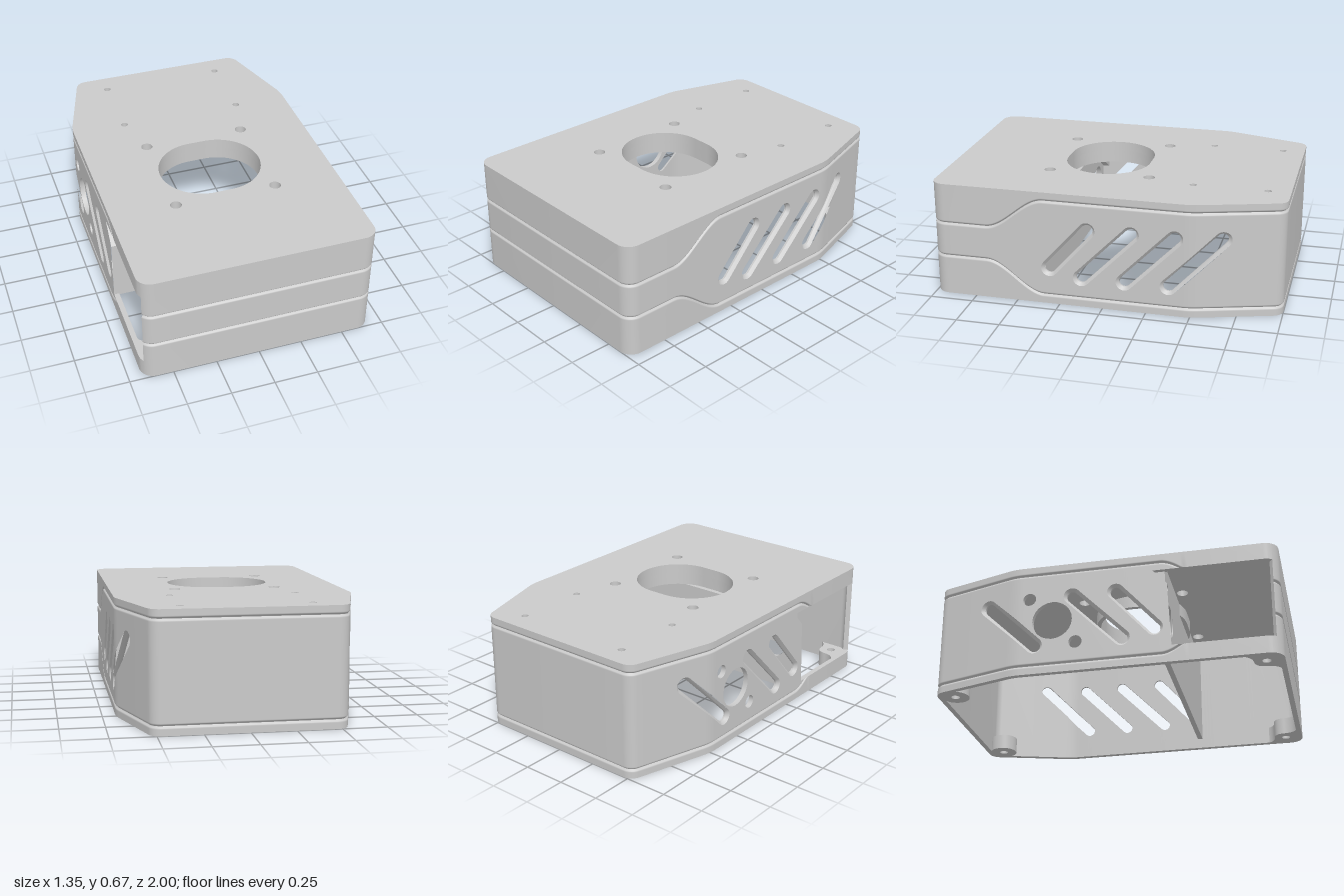
import * as THREE from 'three';
import { toCreasedNormals } from 'three/addons/utils/BufferGeometryUtils.js';

const HEIGHT = 0.67, WALL = 0.03, ROOF = 0.055;
const GROOVE_HALF = 0.012, GROOVE_DEPTH = 0.011;
const GROOVE_STEPS = [-1.4, -1, -0.75, -0.5, -0.25, 0, 0.25, 0.5, 0.75, 1, 1.4];

// Half outline (x, z) from front centre to back centre, with rounded corners and normals
function halfOutline() {
  const c = [[0, 1, 0], [0.675, 1, 0.08], [0.675, -0.5, 0.3], [0.525, -1, 0.07], [0, -1, 0]];
  const out = [{ x: 0, z: 1, nx: 0, nz: 1 }];
  for (let i = 1; i < c.length - 1; i++) {
    const p = new THREE.Vector2(c[i][0], c[i][1]), r = c[i][2];
    const d0 = p.clone().sub(new THREE.Vector2(c[i - 1][0], c[i - 1][1])).normalize();
    const d1 = new THREE.Vector2(c[i + 1][0], c[i + 1][1]).sub(p).normalize();
    const turn = Math.acos(d0.dot(d1)), t = r * Math.tan(turn / 2);
    // outward normal of direction (dx, dz) is (-dz, dx)
    const a0 = Math.atan2(d0.x, -d0.y);
    const cx = p.x - d0.x * t + d0.y * r, cz = p.y - d0.y * t - d0.x * r;
    for (let k = 0; k <= 10; k++) {
      const a = a0 - turn * k / 10, nx = Math.cos(a), nz = Math.sin(a);
      out.push({ x: cx + r * nx, z: cz + r * nz, nx, nz });
    }
  }
  out.push({ x: 0, z: -1, nx: 0, nz: -1 });
  return out;
}
const OUTLINE = halfOutline();

// Outline point at a given z on the side
function at(z) {
  for (let i = 1; i < OUTLINE.length - 2; i++) {
    const a = OUTLINE[i], b = OUTLINE[i + 1];
    if (z <= a.z && z >= b.z && a.z > b.z) {
      const t = (a.z - z) / (a.z - b.z), mix = (k) => a[k] + (b[k] - a[k]) * t;
      return { x: mix('x'), z, nx: mix('nx'), nz: mix('nz') };
    }
  }
  return OUTLINE[0];
}

// Slot outline as [z, y] points; equal ends give a circle
function slot(az, ay, bz, by, r) {
  const dir = Math.atan2(by - ay, az - bz), pts = [];
  for (const [z, y, start] of [[bz, by, -0.5], [az, ay, 0.5]]) {
    for (let k = 0; k <= 12; k++) {
      const a = dir + Math.PI * (start + k / 12);
      pts.push([z - r * Math.cos(a), y + r * Math.sin(a)]);
    }
  }
  return pts;
}
const bevelSlot = (...s) => ({ outer: slot(...s, 0.048), inner: slot(...s, 0.032) });
const plain = (loop) => ({ outer: loop, inner: loop });

// Height range of a convex loop at z
function span(loop, z) {
  let lo = Infinity, hi = -Infinity;
  loop.forEach((p, i) => {
    const q = loop[(i + 1) % loop.length];
    if (z < Math.min(p[0], q[0]) - 1e-7 || z > Math.max(p[0], q[0]) + 1e-7) return;
    const flat = Math.abs(q[0] - p[0]) < 1e-7;
    const ys = flat ? [p[1], q[1]] : [p[1] + (q[1] - p[1]) * (z - p[0]) / (q[0] - p[0])];
    for (const y of ys) { lo = Math.min(lo, y); hi = Math.max(hi, y); }
  });
  return [lo, hi];
}

// The two decorative grooves spread apart from the front to the sides
function grooves(z) {
  const t = 1 - THREE.MathUtils.smoothstep(z, 0.34, 0.68);
  return [0.235 - 0.183 * t, 0.436 + 0.183 * t];
}

function creased(geometry) {
  geometry.scale(100, 100, 100);
  const g = toCreasedNormals(geometry, 0.6);
  g.scale(0.01, 0.01, 0.01);
  return g;
}

// One half of the shell wall, swept column by column with openings left out
function wallGeometry(holes, side) {
  const pos = [];
  const point = (c, y, d) => [side * (c.x - d * c.nx), y, c.z - d * c.nz];
  const tri = (a, b, c) => pos.push(...a, ...(side > 0 ? b : c), ...(side > 0 ? c : b));
  const quad = (a, b, c, d) => { tri(a, b, c); tri(a, c, d); };

  for (const face of ['outer', 'inner']) {
    const loops = holes.map((h) => h[face]);
    const zs = loops.flat().map((p) => p[0]);
    for (let z = 0.3; z < 0.72; z += 0.02) zs.push(z);
    const cols = [...OUTLINE, ...zs.map(at)].sort((a, b) => b.z - a.z);
    for (let i = 0; i < cols.length - 1; i++) {
      const A = cols[i], B = cols[i + 1], mid = (A.z + B.z) / 2;
      if (Math.hypot(A.x - B.x, A.z - B.z) < 1e-6) continue;
      const active = loops.filter((l) => {
        const s = l.map((p) => p[0]);
        return mid > Math.min(...s) && mid < Math.max(...s);
      }).sort((a, b) => span(a, mid)[0] - span(b, mid)[0]);
      const rows = [A, B].map((c) => {
        const cuts = [0, ...active.flatMap((l) => span(l, c.z)), HEIGHT], gaps = [];
        for (let k = 0; k < cuts.length; k += 2) {
          const [lo, hi] = [cuts[k], cuts[k + 1]], g = grooves(c.z);
          const ys = face === 'inner' ? [] : g.flatMap((y) => GROOVE_STEPS.map((s) => y + s * GROOVE_HALF));
          gaps.push([lo, ...ys.map((y) => THREE.MathUtils.clamp(y, lo, hi)), hi].map((y) => {
            const near = Math.min(1, ...g.map((v) => Math.abs(v - y) / GROOVE_HALF));
            return point(c, y, face === 'inner' ? WALL : GROOVE_DEPTH * (0.5 + 0.5 * Math.cos(Math.PI * near)));
          }));
        }
        return gaps;
      });
      rows[0].forEach((a, k) => {
        const b = rows[1][k];
        for (let j = 0; j < a.length - 1; j++) {
          if (face === 'outer') quad(a[j], b[j], b[j + 1], a[j + 1]);
          else quad(a[j], a[j + 1], b[j + 1], b[j]);
        }
      });
      // rims
      if (face === 'outer') {
        quad(point(A, HEIGHT, 0), point(B, HEIGHT, 0), point(B, HEIGHT, WALL), point(A, HEIGHT, WALL));
        quad(point(A, 0, WALL), point(B, 0, WALL), point(B, 0, 0), point(A, 0, 0));
      }
    }
  }
  // bevelled edges of the openings
  for (const h of holes) {
    const rings = [[h.outer, 0], [h.inner, 0.018], [h.inner, WALL]]
      .map(([loop, d]) => loop.map(([z, y]) => point(at(z), y, d)));
    for (let k = 0; k < 2; k++) {
      const o = rings[k], n = rings[k + 1];
      o.forEach((p, i) => { const j = (i + 1) % o.length; quad(p, o[j], n[j], n[i]); });
    }
  }
  const g = new THREE.BufferGeometry();
  g.setAttribute('position', new THREE.Float32BufferAttribute(pos, 3));
  return creased(g);
}

const circle = (P, x, y, r) => new P().absarc(x, y, r, 0, Math.PI * 2);
const polygon = (points) => new THREE.Shape(points.map((p) => new THREE.Vector2(...p)));
// Central opening: two half circles joined by short flats
const opening = (P, r) => new P().absarc(0.05, -0.115, r, -Math.PI / 2, Math.PI / 2)
  .absarc(-0.05, -0.115, r, Math.PI / 2, Math.PI * 1.5).closePath();

const extrude = (shape, depth) => new THREE.ExtrudeGeometry(shape, { depth, bevelEnabled: false, curveSegments: 24 });
// Horizontal plate from a shape drawn in (x, -z)
const plate = (shape, y, depth) => creased(extrude(shape, depth).rotateX(-Math.PI / 2).translate(0, y, 0));
// Upright plate from a shape drawn in (x, y)
const upright = (shape, z, depth) => creased(extrude(shape, depth).translate(0, 0, z));

// Front boss outline flaring into both walls, for the corner at x = side
function flaredBoss(side) {
  const s = new THREE.Shape(), X = (x) => side * (0.575 + x), Y = (z) => -(0.9 + z);
  s.moveTo(X(-0.16), Y(0.085));
  s.quadraticCurveTo(X(-0.075), Y(0.075), X(-0.07), Y(0));
  s.quadraticCurveTo(X(-0.07), Y(-0.07), X(0), Y(-0.07));
  s.quadraticCurveTo(X(0.075), Y(-0.075), X(0.085), Y(-0.16));
  s.lineTo(X(0.085), Y(0.03));
  s.lineTo(X(0.03), Y(0.085));
  return s;
}

export function createModel() {
  const group = new THREE.Group();
  const grey = new THREE.MeshStandardMaterial({ color: 0xcacaca });
  grey.name = 'grey shell';
  const add = (name, geometry) => {
    const m = new THREE.Mesh(geometry, grey);
    m.name = name;
    group.add(m);
  };

  // Side walls: vents on both, connector holes and a large window on the right
  const vents = [
    bevelSlot(0.307, 0.217, 0.088, 0.463), bevelSlot(0.122, 0.174, -0.163, 0.463),
    bevelSlot(-0.126, 0.174, -0.41, 0.463), bevelSlot(-0.377, 0.174, -0.67, 0.463),
  ];
  const round = (z, y, r) => plain(slot(z, y, z, y, r));
  const windowLoop = [[0.967, 0.1], [0.945, 0.1], [0.92, 0.1], [0.4, 0.1], [0.4, 0.46],
    [0.3, 0.57], [0.92, 0.57], [0.945, 0.57], [0.967, 0.57]];
  add('leftWall', wallGeometry(vents, 1));
  add('rightWall', wallGeometry([vents[0], vents[1], vents[3], round(-0.275, 0.32, 0.115),
    round(-0.41, 0.465, 0.038), round(-0.14, 0.175, 0.038), plain(windowLoop)], -1));

  // Top plate with its central opening and screw holes
  const inset = OUTLINE.map((p) => new THREE.Vector2(p.x - WALL * p.nx, -(p.z - WALL * p.nz)));
  const mirrored = inset.slice(1, -1).reverse().map((p) => new THREE.Vector2(-p.x, p.y));
  const top = new THREE.Shape([...inset, ...mirrored]);
  top.holes.push(opening(THREE.Path, 0.25));
  for (const s of [-1, 1]) {
    for (const [x, z, r] of [[0.295, -0.183, 0.033], [0.295, 0.407, 0.033], [0.36, -0.87, 0.02], [0.36, -0.45, 0.02]]) {
      top.holes.push(circle(THREE.Path, s * x, -z, r));
    }
  }
  add('topPlate', plate(top, HEIGHT - ROOF, ROOF));

  // Collar below the opening
  const collar = opening(THREE.Shape, 0.275);
  collar.holes.push(opening(THREE.Path, 0.25));
  add('openingCollar', plate(collar, 0.54, HEIGHT - ROOF - 0.54));

  // Inner partition, notched under the opening, with a cable hole and a screw hole
  const partition = polygon([[-0.65, 0.06], [0.65, 0.06], [0.65, 0.63], [0.17, 0.63],
    [0.17, 0.54], [-0.17, 0.54], [-0.17, 0.63], [-0.65, 0.63]]);
  partition.holes.push(circle(THREE.Path, -0.5, 0.33, 0.09), circle(THREE.Path, -0.57, 0.51, 0.02));
  add('partition', upright(partition, 0.335, 0.03));

  // Gusset around the screw hole in the corner of the partition
  const gusset = polygon([[-0.65, 0.38], [-0.52, 0.46], [-0.52, 0.63], [-0.65, 0.63]]);
  gusset.holes.push(circle(THREE.Path, -0.57, 0.51, 0.02));
  add('cornerGusset', upright(gusset, 0.295, 0.04));

  // Screw bosses in the four bottom corners
  for (const s of [-1, 1]) {
    const backBoss = circle(THREE.Shape, s * 0.457, 0.9, 0.08);
    for (const [boss, x, z, h] of [[flaredBoss(s), 0.575, 0.9, 0.1], [backBoss, 0.457, -0.9, 0.09]]) {
      boss.holes.push(circle(THREE.Path, s * x, -z, 0.025));
      add('screwBoss', plate(boss, 0, h));
    }
  }
  return group;
}
